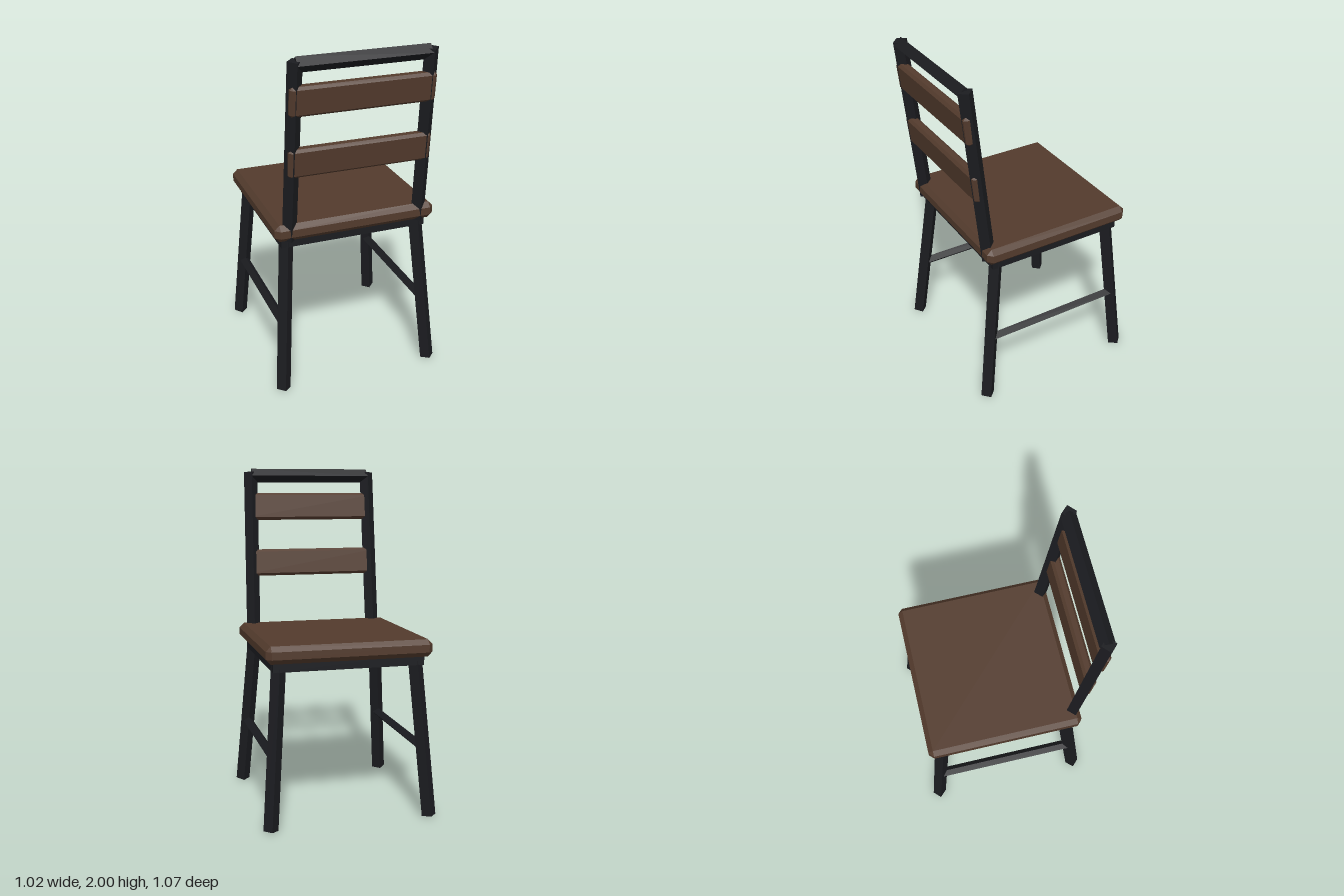
import * as THREE from 'three';
import { ConvexGeometry } from 'three/addons/geometries/ConvexGeometry.js';

const metal = new THREE.MeshStandardMaterial({ color: 0x1b1c20, flatShading: true });
const wood = new THREE.MeshStandardMaterial({ color: 0x533b2d, flatShading: true });

// Square bar between two points, turned 45 degrees so its edges face the axes
function bar(name, from, to, width) {
  const a = new THREE.Vector3(...from);
  const b = new THREE.Vector3(...to);
  const geometry = new THREE.BoxGeometry(width, a.distanceTo(b), width);
  geometry.rotateY(Math.PI / 4);
  const mesh = new THREE.Mesh(geometry, metal);
  mesh.name = name;
  mesh.position.copy(a).add(b).multiplyScalar(0.5);
  mesh.quaternion.setFromUnitVectors(new THREE.Vector3(0, 1, 0), b.sub(a).normalize());
  return mesh;
}

// Box with every edge chamfered by c
function chamferedBox(w, h, d, c) {
  const x = w / 2, y = h / 2, z = d / 2;
  const points = [];
  for (const sx of [-1, 1]) for (const sy of [-1, 1]) for (const sz of [-1, 1]) {
    points.push(
      new THREE.Vector3(sx * x, sy * (y - c), sz * (z - c)),
      new THREE.Vector3(sx * (x - c), sy * y, sz * (z - c)),
      new THREE.Vector3(sx * (x - c), sy * (y - c), sz * z),
    );
  }
  return new ConvexGeometry(points);
}

export function createModel() {
  const chair = new THREE.Group();
  chair.name = 'chair';
  const centreZ = -0.03;

  // Wooden seat on a metal frame
  const seat = new THREE.Mesh(chamferedBox(0.96, 0.1, 0.92, 0.028), wood);
  seat.name = 'seat';
  seat.position.set(0, 0.99, centreZ);
  const frame = new THREE.Mesh(new THREE.BoxGeometry(0.876, 0.065, 0.83), metal);
  frame.name = 'seatFrame';
  frame.position.set(0, 0.922, centreZ);
  chair.add(seat, frame);

  for (const side of [-1, 1]) {
    const label = side > 0 ? 'left' : 'right';

    // Splayed legs
    chair.add(bar(label + 'FrontLeg', [side * 0.467, 0.005, -0.486], [side * 0.398, 0.92, -0.402], 0.06));
    chair.add(bar(label + 'BackLeg', [side * 0.467, 0.005, 0.452], [side * 0.398, 0.92, 0.346], 0.06));

    // Side stretcher between the legs
    chair.add(bar(label + 'Stretcher', [side * 0.436, 0.405, -0.449], [side * 0.436, 0.405, 0.406], 0.042));

    // Leaning back post
    chair.add(bar(label + 'BackPost', [side * 0.392, 0.94, 0.386], [side * 0.378, 1.978, 0.495], 0.06));
  }

  // Metal rail across the top of the posts
  chair.add(bar('topRail', [-0.375, 1.957, 0.491], [0.375, 1.957, 0.491], 0.06));

  // Wooden back slats, leaning with the posts
  for (const [name, y, z] of [['lowerSlat', 1.415, 0.445], ['upperSlat', 1.765, 0.483]]) {
    const slat = new THREE.Mesh(chamferedBox(0.825, 0.166, 0.06, 0.015), wood);
    slat.name = name;
    slat.position.set(0, y, z);
    slat.rotation.x = 0.105;
    chair.add(slat);
  }

  return chair;
}
